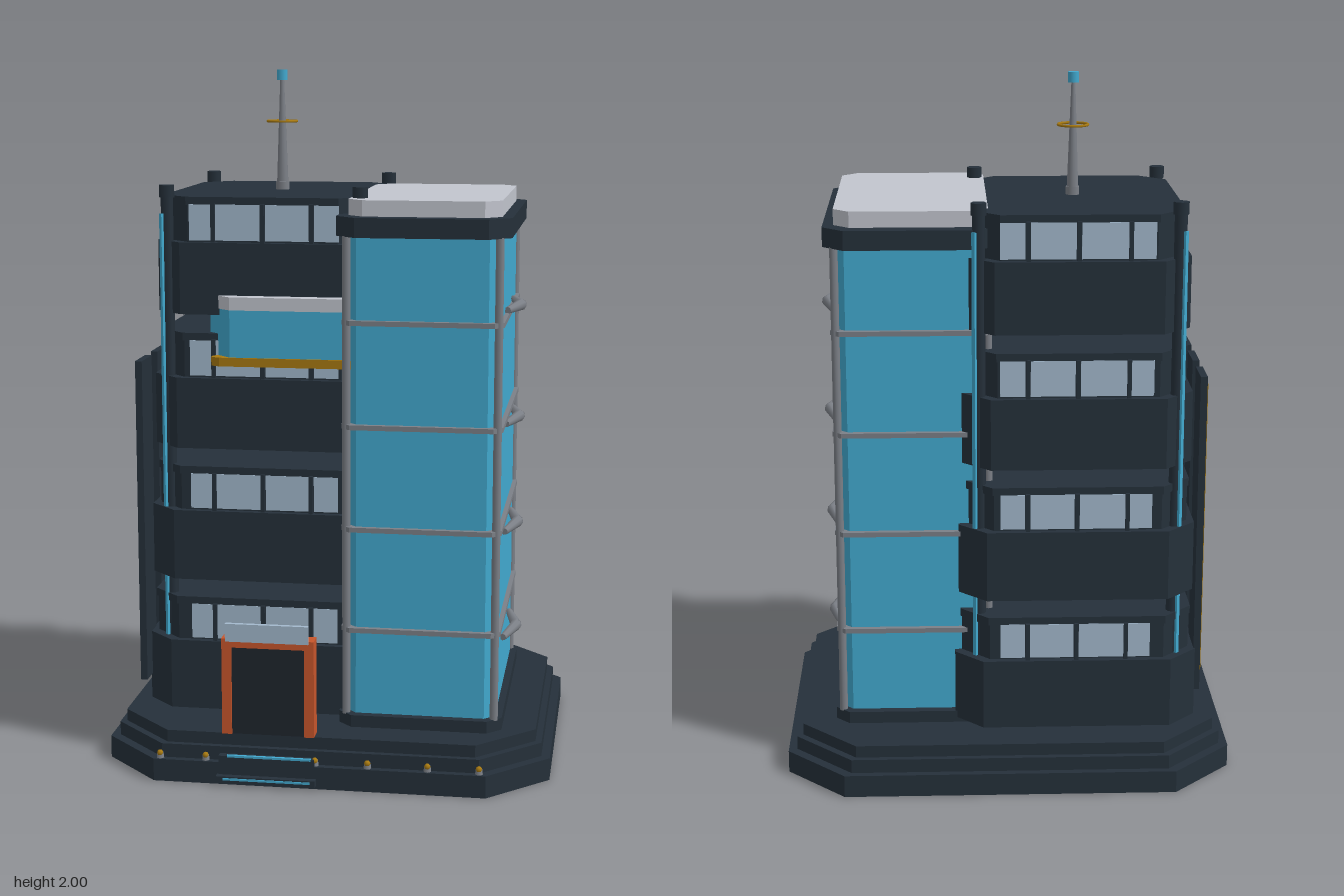
import * as THREE from 'three';

const mat = (name, color) => {
  const m = new THREE.MeshStandardMaterial({ color });
  m.name = name;
  return m;
};

export function createModel() {
  const dark = mat('dark cladding', 0x25303a);
  const cyan = mat('cyan glass', 0x42aad0);
  const pale = mat('pale roof', 0xc2c5ce);
  const pane = mat('window pane', 0xa3b9cd);
  const steel = mat('steel', 0x7c8087);
  const orange = mat('orange frame', 0xc8562c);
  const gold = mat('gold', 0xa87a12);
  const black = mat('door black', 0x1f262d);

  const model = new THREE.Group();
  model.name = 'officeBuilding';

  const add = (name, geo, m, x = 0, y = 0, z = 0, parent = model) => {
    const mesh = new THREE.Mesh(geo, m);
    mesh.name = name;
    mesh.position.set(x, y, z);
    parent.add(mesh);
    return mesh;
  };
  // Box given by its limits
  const box = (name, m, x0, x1, y0, y1, z0, z1, parent) =>
    add(name, new THREE.BoxGeometry(x1 - x0, y1 - y0, z1 - z0), m,
      (x0 + x1) / 2, (y0 + y1) / 2, (z0 + z1) / 2, parent);
  // Upright prism over an outline of [x, z] points
  const prism = (name, m, pts, y0, y1, x = 0, z = 0, parent) => {
    const shape = new THREE.Shape(pts.map(([a, b]) => new THREE.Vector2(a, -b)));
    const geo = new THREE.ExtrudeGeometry(shape, { depth: y1 - y0, bevelEnabled: false });
    geo.rotateX(-Math.PI / 2);
    return add(name, geo, m, x, y0, z, parent);
  };
  // Rectangle with cut corners
  const octagon = (hx, hz, c) => [
    [hx - c, hz], [hx, hz - c], [hx, c - hz], [hx - c, -hz],
    [c - hx, -hz], [-hx, c - hz], [-hx, hz - c], [c - hx, hz]];

  // Stepped base
  prism('baseLower', dark, octagon(0.645, 0.542, 0.17), 0, 0.065, 0, -0.012);
  prism('baseMiddle', dark, octagon(0.62, 0.522, 0.165), 0.065, 0.105, 0, -0.012);
  prism('baseUpper', dark, octagon(0.602, 0.505, 0.16), 0.105, 0.14, 0, -0.012);
  box('entranceStep', dark, -0.29, -0.005, 0.01, 0.03, 0.5, 0.55);
  box('entranceStepUpper', dark, -0.285, -0.01, 0.03, 0.085, 0.48, 0.532);
  box('stepLight', cyan, -0.27, -0.02, 0.02, 0.026, 0.548, 0.553);
  box('stepLightUpper', cyan, -0.26, -0.02, 0.082, 0.088, 0.525, 0.534);
  for (const x of [-0.458, -0.325, -0.01, 0.14, 0.31, 0.455]) {
    add('baseLamp', new THREE.CylinderGeometry(0.009, 0.011, 0.016, 8), steel, x, 0.073, 0.515);
    add('baseLampGlow', new THREE.SphereGeometry(0.009, 8, 6), gold, x, 0.08, 0.518);
  }

  // Office wing: four separate floors held between corner posts
  const cx = -0.195, cz = -0.05;
  const panes = [[-0.405, -0.34], [-0.33, -0.2], [-0.185, -0.06], [-0.045, 0.025]];
  for (let i = 0; i < 4; i++) {
    const floor = new THREE.Group();
    floor.name = 'officeFloor' + (i + 1);
    model.add(floor);
    const y = 0.155 + i * 0.387;
    const hx = 0.35 - i * 0.0115, hz = 0.385 - i * 0.01;
    const ux = hx - 0.016, uz = hz - 0.016;
    prism('floorBand', dark, octagon(hx, hz, 0.08), y, y + 0.205, cx, cz, floor);
    prism('windowStorey', dark, octagon(ux - 0.004, uz - 0.004, 0.08), y + 0.205, y + 0.31, cx, cz, floor);
    prism('floorHeader', dark, octagon(ux, uz, 0.08), y + 0.31, y + 0.333, cx, cz, floor);
    for (const s of [-1, 1]) {
      const z = cz + s * (uz - 0.002);
      for (const [a, b] of panes)
        box('window', pane, a, b, y + 0.21, y + 0.312, z - 0.003, z + 0.003, floor);
      for (const x of [-0.335, -0.193, -0.053])
        box('windowMullion', dark, x - 0.006, x + 0.006, y + 0.2, y + 0.315, z - 0.012, z + 0.012, floor);
    }
    const wx = cx - ux + 0.001;
    box('sideWindow', pane, wx - 0.004, wx + 0.004, y + 0.215, y + 0.315, -0.26, 0.157, floor);
  }

  // Corner posts with light strips facing outward
  for (const sx of [-1, 1]) for (const sz of [-1, 1]) {
    const post = new THREE.Group();
    post.name = 'cornerPost';
    post.position.set(cx + sx * 0.278, 0, cz + sz * 0.318);
    post.rotation.y = Math.atan2(sx, sz);
    model.add(post);
    add('postShaft', new THREE.CylinderGeometry(0.018, 0.018, 1.51, 8), dark, 0, 0.895, 0, post);
    add('postCap', new THREE.CylinderGeometry(0.022, 0.022, 0.035, 8), dark, 0, 1.663, 0, post);
    box('postLight', cyan, -0.006, 0.006, 0.36, 1.6, 0.014, 0.023, post);
  }

  // Vertical fins on the wing's outer side
  for (const z of [-0.295, -0.108, 0.078, 0.265]) {
    box('sideFin', dark, -0.561, -0.541, 0.23, 1.18, z - 0.058, z + 0.058);
    box('finStrip', gold, -0.57, -0.561, 0.27, 1.145, z - 0.006, z + 0.006);
  }

  // Glass bay on the front of the wing
  const bay = [[0.06, 0.27], [0.06, 0.342], [-0.28, 0.342], [-0.35, 0.27]];
  prism('bayFloor', gold, [[0.07, 0.27], [0.07, 0.348], [-0.31, 0.348], [-0.335, 0.335], [-0.335, 0.27]], 1.175, 1.2);
  prism('bayGlass', cyan, bay, 1.2, 1.335);
  prism('bayRoof', pale, [[0.05, 0.27], [0.05, 0.345], [-0.28, 0.345], [-0.318, 0.31], [-0.318, 0.27]], 1.335, 1.372);

  // Glass tower
  const tx = 0.27, tz = 0.015;
  prism('towerCollar', dark, octagon(0.235, 0.375, 0.04), 0.14, 0.175, tx, tz);
  prism('towerGlass', cyan, octagon(0.215, 0.35, 0.03), 0.175, 1.55, tx, tz);
  prism('towerCap', dark, octagon(0.245, 0.388, 0.06), 1.55, 1.605, tx, tz);
  prism('towerRoof', pale, octagon(0.215, 0.34, 0.045), 1.605, 1.65, tx, tz);
  for (const sx of [-1, 1]) for (const sz of [-1, 1])
    add('towerColumn', new THREE.CylinderGeometry(0.012, 0.012, 1.38, 10), steel,
      tx + sx * 0.213, 0.862, tz + sz * 0.345);
  for (const y of [0.425, 0.72, 1.015, 1.31])
    prism('towerRail', steel, octagon(0.228, 0.366, 0.025), y - 0.007, y + 0.007, tx, tz);

  // Pointed fins on the tower's outer side, two tapered halves each
  const up = new THREE.Vector3(0, 1, 0);
  for (const y of [0.355, 0.675, 0.995, 1.325]) for (const s of [-1, 1]) {
    const from = new THREE.Vector3(0.492, y, tz + s * 0.138);
    const to = new THREE.Vector3(0.522, y, tz);
    const dir = to.clone().sub(from);
    const half = add('towerFin', new THREE.CylinderGeometry(0.017, 0.01, dir.length(), 8), steel);
    half.position.copy(from).add(to).multiplyScalar(0.5);
    half.quaternion.setFromUnitVectors(up, dir.normalize());
  }

  // Entrance portal
  box('portalSideRight', orange, -0.28, -0.252, 0.14, 0.422, 0.45, 0.5);
  box('portalSideLeft', orange, -0.043, -0.015, 0.14, 0.422, 0.45, 0.5);
  box('portalTop', orange, -0.28, -0.015, 0.396, 0.422, 0.45, 0.5);
  box('portalDoor', black, -0.252, -0.043, 0.14, 0.396, 0.455, 0.494);
  box('portalSign', pane, -0.268, -0.03, 0.415, 0.467, 0.494, 0.507);

  // Rooftop mast
  add('mastFoot', new THREE.CylinderGeometry(0.02, 0.02, 0.03, 10), steel, cx, 1.657, -0.047);
  add('mast', new THREE.CylinderGeometry(0.006, 0.017, 0.3, 10), steel, cx, 1.82, -0.047);
  add('mastBeacon', new THREE.CylinderGeometry(0.016, 0.016, 0.03, 10), cyan, cx, 1.985, -0.047);
  const ring = add('mastRing', new THREE.TorusGeometry(0.043, 0.004, 6, 24), gold, cx, 1.85, -0.047);
  ring.rotation.x = Math.PI / 2;

  return model;
}
